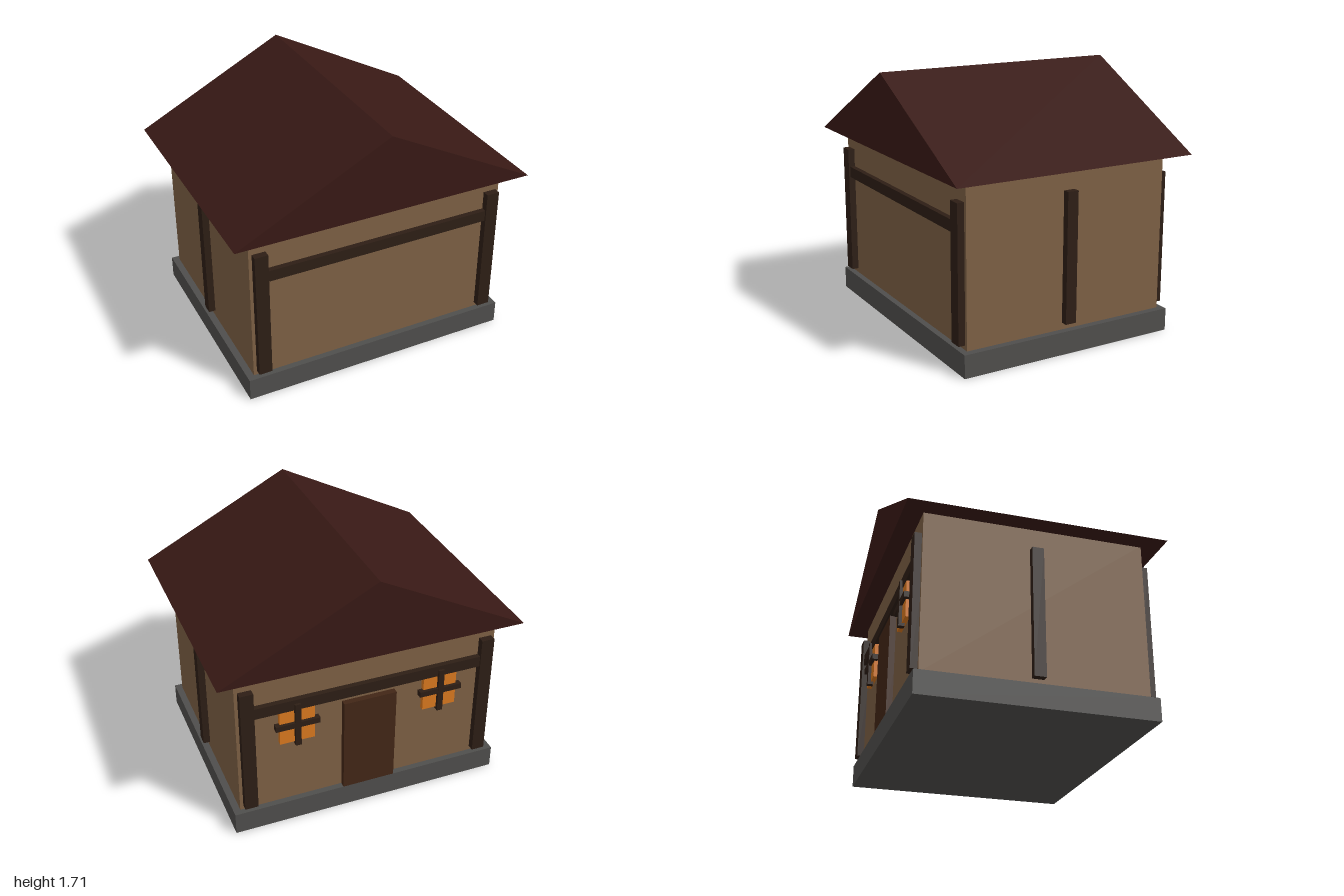
import * as THREE from 'three';

const material = (color) => new THREE.MeshStandardMaterial({ color, flatShading: true });

export function createModel() {
  const house = new THREE.Group();
  house.name = 'house';

  const stone = material(0x4f4e4c);
  const plaster = material(0x7d6044);
  const timber = material(0x2d1e15);
  const roofing = material(0x381915);
  const doorWood = material(0x422616);
  const glow = material(0xd9781f);

  // Box given by its size and centre
  const box = (name, mat, [w, h, d], [x, y, z], parent = house) => {
    const mesh = new THREE.Mesh(new THREE.BoxGeometry(w, h, d), mat);
    mesh.name = name;
    mesh.position.set(x, y, z);
    parent.add(mesh);
    return mesh;
  };

  // Foundation and walls
  box('foundation', stone, [1.83, 0.15, 1.5], [0, 0.075, 0]);
  box('walls', plaster, [1.74, 1.05, 1.42], [0, 0.675, 0]);

  // Solid gable roof, ridge running front to back
  const gable = new THREE.Shape([
    new THREE.Vector2(-1, 1.19),
    new THREE.Vector2(1, 1.19),
    new THREE.Vector2(0, 1.705),
  ]);
  const roofGeometry = new THREE.ExtrudeGeometry(gable, { depth: 1.67, bevelEnabled: false });
  roofGeometry.translate(0, 0, -0.835);
  const roof = new THREE.Mesh(roofGeometry, roofing);
  roof.name = 'roof';
  house.add(roof);

  // Timber frame: corner posts and cross beams front and back, one post per side
  for (const [end, s] of [['front', 1], ['back', -1]]) {
    for (const x of [-0.805, 0.805]) {
      box(`${end}Post`, timber, [0.087, 0.88, 0.09], [x, 0.62, s * 0.71]);
    }
    box(`${end}Beam`, timber, [1.61, 0.075, 0.07], [0, 0.9, s * 0.71]);
  }
  for (const s of [-1, 1]) {
    box('sidePost', timber, [0.09, 0.85, 0.075], [s * 0.87, 0.62, 0]);
  }

  // Door in the back wall
  box('door', doorWood, [0.355, 0.67, 0.09], [0, 0.485, -0.705]);

  // Lit windows either side of the door, each with a timber cross
  for (const x of [-0.485, 0.485]) {
    const window = new THREE.Group();
    window.name = 'window';
    window.position.set(x, 0.755, -0.71);
    house.add(window);
    box('pane', glow, [0.23, 0.27, 0.06], [0, 0, 0], window);
    box('uprightBar', timber, [0.038, 0.31, 0.04], [0, 0, -0.031], window);
    box('crossBar', timber, [0.29, 0.038, 0.04], [0, 0, -0.03], window);
  }

  return house;
}
